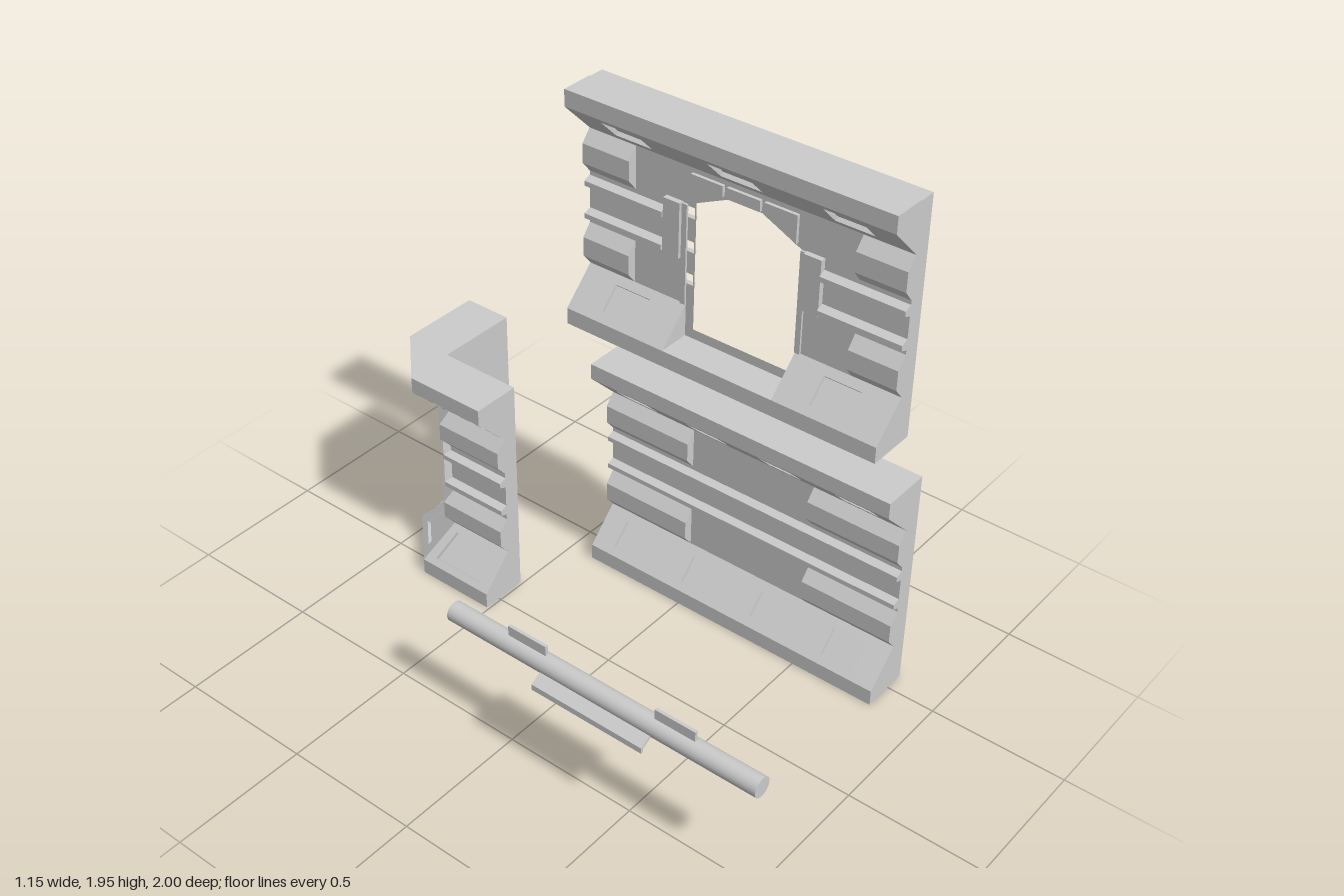
import * as THREE from 'three';

const V = (x, y, z) => new THREE.Vector3(x, y, z);
const flat = new THREE.MeshStandardMaterial({ color: 0xcccccc, flatShading: true });
const smooth = new THREE.MeshStandardMaterial({ color: 0xcccccc });
const H = 0.86;               // wall height
const DEEP = 0.12;            // depth of the grooves behind the flanges

function add(parent, name, geometry, material = flat) {
  const m = new THREE.Mesh(geometry, material);
  m.name = name;
  parent.add(m);
  return m;
}

// Planar polygon, turned so that it faces along the hint direction
function poly(out, pts, hint) {
  const n = V(0, 0, 0);
  pts.forEach((p, i) => n.add(p.clone().cross(pts[(i + 1) % pts.length])));
  const ring = n.dot(hint) < 0 ? [...pts].reverse() : pts;
  const a = [Math.abs(n.x), Math.abs(n.y), Math.abs(n.z)];
  const drop = a.indexOf(Math.max(...a));
  const flatPts = ring.map(p => drop === 0 ? new THREE.Vector2(p.y, p.z)
    : drop === 1 ? new THREE.Vector2(p.z, p.x) : new THREE.Vector2(p.x, p.y));
  for (const t of THREE.ShapeUtils.triangulateShape(flatPts, [])) {
    const [p, q, r] = t.map(i => ring[i]);
    const up = q.clone().sub(p).cross(r.clone().sub(p)).dot(hint) >= 0;
    for (const v of up ? [p, q, r] : [p, r, q]) out.push(v.x, v.y, v.z);
  }
}

// Four-sided panel with a sunken field
function pocket(out, [a, b, c, d], hint, mu, mv, depth = 0.015) {
  const at = (u, v) => a.clone().lerp(b, u).lerp(d.clone().lerp(c, u), v);
  const n = b.clone().sub(a).cross(d.clone().sub(a)).normalize();
  if (n.dot(hint) < 0) n.negate();
  const outer = [a, b, c, d];
  const rim = [at(mu, mv), at(1 - mu, mv), at(1 - mu, 1 - mv), at(mu, 1 - mv)];
  const floor = rim.map(p => p.clone().addScaledVector(n, -depth));
  const mid = at(0.5, 0.5);
  for (let i = 0; i < 4; i++) {
    const j = (i + 1) % 4;
    poly(out, [outer[i], outer[j], rim[j], rim[i]], n);
    poly(out, [rim[i], rim[j], floor[j], floor[i]], mid.clone().sub(rim[i].clone().lerp(rim[j], 0.5)));
  }
  poly(out, floor, n);
}

function build(out) {
  const g = new THREE.BufferGeometry();
  g.setAttribute('position', new THREE.Float32BufferAttribute(out, 3));
  g.computeVertexNormals();
  return g;
}

// Cross-section in x, y drawn out along z
function prism(pts, z0, z1) {
  const s = new THREE.Shape(pts.map(p => new THREE.Vector2(...p)));
  return new THREE.ExtrudeGeometry(s, { depth: z1 - z0, bevelEnabled: false }).translate(0, 0, z0);
}

// Outline in z, y drawn out along x, with holes
function slab(outline, holes, x0, x1) {
  const pts = o => o.map(([z, y]) => new THREE.Vector2(-z, y));
  const s = new THREE.Shape(pts(outline));
  s.holes = holes.map(h => new THREE.Path(pts(h)));
  return new THREE.ExtrudeGeometry(s, { depth: x1 - x0, bevelEnabled: false })
    .rotateY(Math.PI / 2).translate(x0, 0, 0);
}
const rect = (z0, z1, y0, y1) => [[z0, y0], [z1, y0], [z1, y1], [z0, y1]];

// Projecting flange whose slope carries one sunken field per panel
function flange(x0, top, zs, mu) {
  const Y = y => top ? H - y : y;
  const sec = [[x0, Y(0)], [x0, Y(0.06)], [x0 + DEEP, Y(0.18)], [x0 + DEEP, Y(0)]];
  const at = (i, z) => V(...sec[i], z);
  const out = [], z0 = zs[0], z1 = zs[zs.length - 1], s = top ? -1 : 1;
  poly(out, [at(0, z0), at(1, z0), at(1, z1), at(0, z1)], V(-1, 0, 0));
  poly(out, [at(0, z0), at(3, z0), at(3, z1), at(0, z1)], V(0, -s, 0));
  for (let i = 0; i + 1 < zs.length; i++)
    pocket(out, [at(1, zs[i]), at(1, zs[i + 1]), at(2, zs[i + 1]), at(2, zs[i])], V(-1, s, 0), mu, 0.2);
  for (const [z, d] of [[z0, -1], [z1, 1]]) poly(out, [0, 1, 2, 3].map(i => at(i, z)), V(0, 0, d));
  return build(out);
}

// Thick chamfered bands and thin ribs standing out of the groove
const band = (x, y) => [[x, y - 0.055 - 0.022], [x, y + 0.077], [x - 0.035, y + 0.035], [x - 0.035, y - 0.035]];
const rib = (x, y) => [[x, y - 0.02], [x, y + 0.02], [x - 0.027, y + 0.009], [x - 0.027, y - 0.009]];
const Z0 = -0.4, Z1 = 0.82, ZM = 0.21;

function lowerWall() {
  const g = new THREE.Group();
  g.name = 'lowerWall';
  const x = 0.39, f = x + DEEP;
  add(g, 'backSlab', slab(rect(Z0, Z1, 0, H), [], f, 0.575));
  for (const top of [false, true]) add(g, 'flange', flange(x, top, [Z0, -0.09, ZM, 0.51, Z1], 0.28));
  for (const y of [0.258, 0.602])
    for (const [a, b] of [[Z0, -0.04], [0.46, Z1]]) add(g, 'endBand', prism(band(f, y), a, b));
  for (const y of [0.37, 0.49]) add(g, 'rib', prism(rib(f, y), Z0, Z1));
  return g;
}

function windowWall() {
  const g = new THREE.Group();
  g.name = 'windowWall';
  g.position.y = 1.088;
  const x = 0.27, f = x + DEEP, w = 0.215;
  const mirror = o => o.map(([z, y]) => [2 * ZM + 0.01 - z, y]);
  const c = ZM + 0.005;
  const opening = [[c - w, 0.06], [c + w, 0.06], [c + w, 0.547], [c + 0.064, 0.617], [c - 0.064, 0.617], [c - w, 0.547]];
  const side = [[c + 0.2, 0.565], [c + 0.2, 0.664], [c + 0.078, 0.664], [c + 0.078, 0.625]];
  const key = rect(c - 0.063, c + 0.063, 0.625, 0.664);
  const stones = [key, side, mirror(side)];
  const slots = [];
  for (const y of [0.245, 0.366, 0.49]) {
    const s = rect(c + w + 0.006, c + w + 0.082, y - 0.02, y + 0.02);
    slots.push(s, mirror(s));
  }
  // Slab in two layers: the outer one holds the sunken slots and arch stones
  add(g, 'innerSlab', slab(rect(Z0, Z1, 0, 0.857), [opening], f, 0.433));
  add(g, 'outerSlab', slab(rect(Z0, Z1, 0, 0.857), [opening, ...slots, ...stones], 0.433, 0.452));
  // Flanges, with the lower one cut open below the window
  add(g, 'topFlange', flange(x, true, [Z0, c - w, c + w, Z1], 0.32));
  add(g, 'lowerFlange', flange(x, false, [Z0, c - w], 0.32));
  add(g, 'lowerFlange', flange(x, false, [c + w, Z1], 0.32));
  add(g, 'sill', prism([[x, 0], [f, 0], [f, 0.06], [x, 0.06]], c - w, c + w));
  // Bands and ribs on both ends, stopped against the window trim
  for (const [a, b, e, h] of [[Z0, -0.21, Z0, c - 0.3], [0.64, Z1, c + 0.3, Z1]]) {
    for (const y of [0.258, 0.602]) add(g, 'endBand', prism(band(f, y), a, b));
    for (const y of [0.37, 0.49]) add(g, 'rib', prism(rib(f, y), e, h));
  }
  // Jamb trim and arch stones on the profiled side
  const jamb = rect(c + 0.235, c + 0.3, 0.35, 0.55);
  const strip = rect(c + w, c + w + 0.02, 0.18, 0.547);
  for (const o of [jamb, mirror(jamb)]) add(g, 'jambTrim', slab(o, [], f - 0.02, f));
  for (const o of [strip, mirror(strip)]) add(g, 'jambStrip', slab(o, [], f - 0.008, f));
  for (const o of stones) add(g, 'archStone', slab(o, [], f - 0.012, f));
  return g;
}

// Corner pillar: one profile swept round three outer faces
function cornerPillar() {
  const half = [[0, 0], [0, 0.06], [0.12, 0.183], [0.085, 0.226], [0.085, 0.29], [0.12, 0.33],
    [0.12, 0.35], [0.093, 0.361], [0.093, 0.379], [0.12, 0.39]];
  const prof = [...half, ...half.map(([d, y]) => [d, H - y]).reverse()];
  const k = Math.SQRT2 - 1;
  const plan = [d => [-0.063 + d, -0.51], d => [-0.063 + d, -0.817 + k * d],
    d => [0.12 + k * d, -1 + d], d => [0.425, -1 + d]];
  const at = (i, [d, y]) => { const [x, z] = plan[i](d); return V(x, y, z); };
  const facing = [V(-1, 0, 0), V(-1, 0, -1), V(0, 0, -1)];
  const out = [];
  for (let f = 0; f < 3; f++)
    for (let i = 0; i + 1 < prof.length; i++) {
      const p = prof[i], q = prof[i + 1];
      const face = [at(f, p), at(f + 1, p), at(f + 1, q), at(f, q)];
      if (i === 1 || i === prof.length - 3) pocket(out, face, facing[f], f === 1 ? 0.22 : 0.13, 0.16);
      else poly(out, face, facing[f]);
    }
  // Inner faces, ends, top and bottom
  const inner = [[0.117, -0.51], [0.117, -0.82], [0.425, -0.82]];
  const inn = (i, y) => V(inner[i][0], y, inner[i][1]);
  for (const [i, n] of [[0, V(1, 0, 0)], [1, V(0, 0, 1)]])
    poly(out, [inn(i, 0), inn(i + 1, 0), inn(i + 1, H), inn(i, H)], n);
  poly(out, [...prof.map(p => at(0, p)), inn(0, H), inn(0, 0)], V(0, 0, 1));
  poly(out, [...prof.map(p => at(3, p)), inn(2, H), inn(2, 0)], V(1, 0, 0));
  for (const [y, n] of [[0, -1], [H, 1]])
    poly(out, [...[0, 1, 2, 3].map(i => at(i, [0, y])), inn(2, y), inn(1, y), inn(0, y)], V(0, n, 0));
  const g = new THREE.Group();
  g.name = 'cornerPillar';
  add(g, 'pillarBody', build(out));
  return g;
}

function finnedRod() {
  const g = new THREE.Group();
  g.name = 'finnedRod';
  g.position.set(-0.503, 0.438, 0);
  add(g, 'rod', new THREE.CylinderGeometry(0.036, 0.036, 1.23, 32).rotateX(Math.PI / 2).translate(0, 0, 0.385), smooth);
  for (const z of [0.01, 0.6])
    add(g, 'topFin', prism([[-0.006, 0.03], [0.006, 0.03], [0.006, 0.073], [-0.006, 0.073]], z, z + 0.155));
  // Side fins with a turned-down lip
  for (const s of [-1, 1])
    add(g, 'sideFin', prism([[0.028, -0.01], [0.074, -0.036], [0.074, -0.058], [0.066, -0.054], [0.066, -0.043], [0.024, -0.021]]
      .map(([x, y]) => [s * x, y]), 0.165, 0.605));
  return g;
}

export function createModel() {
  const model = new THREE.Group();
  model.name = 'wallKit';
  model.add(lowerWall(), windowWall(), cornerPillar(), finnedRod());
  return model;
}
